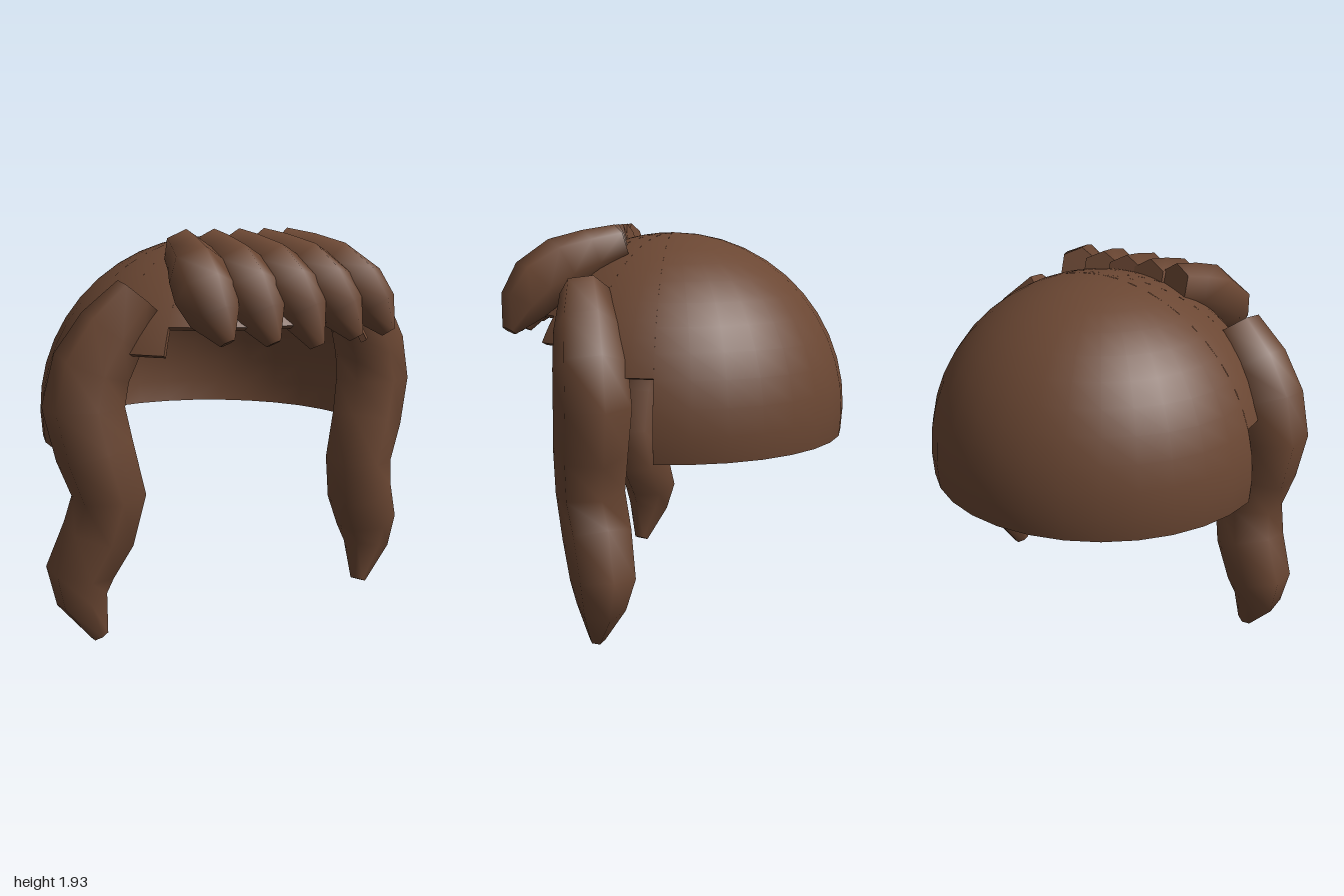
import * as THREE from 'three';

const rad = THREE.MathUtils.degToRad;
const SIDES = 6;

// Tapered six-sided lock swept along stations [x, y, z, radius]; ref fixes the roll.
function lockGeometry(stations, ref, phase, refScale = 1) {
  const pts = stations.map((s) => new THREE.Vector3(s[0], s[1], s[2]));
  const curve = new THREE.CatmullRomCurve3(pts);
  const pos = [], idx = [], last = pts.length - 1;
  const rings = pts.map((c, i) => {
    const t = curve.getTangent(i / last);
    const u = ref.clone().addScaledVector(t, -ref.dot(t)).normalize();
    const v = new THREE.Vector3().crossVectors(t, u);
    return Array.from({ length: SIDES }, (_, j) => {
      const a = phase + (j / SIDES) * Math.PI * 2, r = stations[i][3];
      return c.clone().addScaledVector(u, r * refScale * Math.cos(a)).addScaledVector(v, r * Math.sin(a));
    });
  });
  rings.forEach((ring) => ring.forEach((p) => pos.push(p.x, p.y, p.z)));
  for (let i = 0; i < last; i++) {
    for (let j = 0; j < SIDES; j++) {
      const a = i * SIDES + j, b = i * SIDES + ((j + 1) % SIDES);
      idx.push(a, b, a + SIDES, b, b + SIDES, a + SIDES);
    }
  }
  // flat end caps with their own vertices
  [0, last].forEach((i) => {
    const base = pos.length / 3;
    rings[i].forEach((p) => pos.push(p.x, p.y, p.z));
    for (let j = 1; j < SIDES - 1; j++) {
      if (i === 0) idx.push(base, base + j + 1, base + j);
      else idx.push(base, base + j, base + j + 1);
    }
  });
  const g = new THREE.BufferGeometry();
  g.setAttribute('position', new THREE.Float32BufferAttribute(pos, 3));
  g.setIndex(idx);
  g.computeVertexNormals();
  return g;
}

export function createModel() {
  const model = new THREE.Group();
  model.name = 'hair';
  const brown = new THREE.MeshStandardMaterial({ color: 0x6b4733, side: THREE.DoubleSide });
  brown.name = 'brown hair';
  const add = (parent, name, geometry) => {
    const mesh = new THREE.Mesh(geometry, brown);
    mesh.name = name;
    parent.add(mesh);
    return mesh;
  };

  // Cap: a hollow dome whose hem steps up towards the forehead
  const R = 0.875, INNER = 0.845, CY = 1.005;
  const cap = new THREE.Group();
  cap.name = 'cap';
  cap.position.set(0, CY, 0.04);
  model.add(cap);
  const sectors = [ // start angle, end angle, hem height
    [0, 22.5, 1.26], [22.5, 45, 1.38], [45, 135, 1.5],
    [135, 157.5, 1.38], [157.5, 180, 1.26], [180, 360, 0.88],
  ];
  const hemAngle = (y) => Math.acos((y - CY) / R);
  sectors.forEach(([from, to, y], i) => {
    const theta = hemAngle(y), phi = rad(from), len = rad(to - from);
    const cols = Math.round((to - from) / 11.25);
    add(cap, 'capOuter', new THREE.SphereGeometry(R, cols, 12, phi, len, 0, theta));
    add(cap, 'capInner', new THREE.SphereGeometry(INNER, cols, 12, phi, len, 0, theta));
    // hem between the two shells
    const edge = [INNER, R].map((r) => new THREE.Vector2(r * Math.sin(theta), r * Math.cos(theta)));
    add(cap, 'capHem', new THREE.LatheGeometry(edge, cols, phi - Math.PI / 2, len));
    // upright edge where the hem steps
    const before = hemAngle(sectors[(i + 5) % 6][2]);
    const low = Math.max(theta, before), high = Math.min(theta, before);
    const wall = new THREE.RingGeometry(INNER, R, 6, 1, Math.PI / 2 - low, low - high);
    add(cap, 'capStep', wall.rotateY(phi + Math.PI));
  });

  // Long wavy locks at both temples
  const side = [
    [0.575, 1.625, 0.39, 0.125], [0.70, 1.47, 0.36, 0.165], [0.79, 1.31, 0.33, 0.185],
    [0.828, 1.13, 0.315, 0.194], [0.785, 0.92, 0.335, 0.187], [0.725, 0.71, 0.35, 0.177],
    [0.765, 0.52, 0.315, 0.176], [0.848, 0.33, 0.275, 0.165], [0.845, 0.2, 0.285, 0.125],
    [0.77, 0.012, 0.32, 0.042],
  ];
  [['leftLock', 1], ['rightLock', -1]].forEach(([name, s]) => {
    const path = side.map(([x, y, z, r]) => [s * x, y, z, r]);
    add(model, name, lockGeometry(path, new THREE.Vector3(0, 0, 1), 0, 0.92));
  });

  // Fringe of five locks curling over the forehead
  const profile = [ // height, depth, radius, blend from root to middle x
    [1.825, 0.265, 0.1, 0], [1.785, 0.4, 0.118, 0.35], [1.735, 0.545, 0.138, 0.72],
    [1.65, 0.655, 0.142, 0.97], [1.55, 0.72, 0.115, 1.05], [1.415, 0.775, 0.035, 1],
  ];
  const fringe = new THREE.Group();
  fringe.name = 'fringe';
  model.add(fringe);
  const locks = [ // root x, middle x, tip x, tip height shift, depth shift
    [-0.28, -0.375, -0.33, 0.025, -0.015], [-0.13, -0.155, -0.1, 0.01, 0],
    [0.01, 0.055, 0.13, -0.015, 0.012], [0.15, 0.265, 0.36, 0.01, 0], [0.285, 0.475, 0.57, 0.02, -0.025],
  ];
  locks.forEach(([root, mid, tip, dy, dz], k) => {
    const path = profile.map(([y, z, r, f], i) => {
      const end = i === profile.length - 1;
      const x = end ? tip : root + (mid - root) * f + (i === 4 ? (tip - mid) * 0.4 : 0);
      return [x, y + (end ? dy : 0), z + (i > 1 ? dz : 0), r];
    });
    add(fringe, `fringeLock${k + 1}`, lockGeometry(path, new THREE.Vector3(1, 0, 0), Math.PI / 6));
  });
  return model;
}
